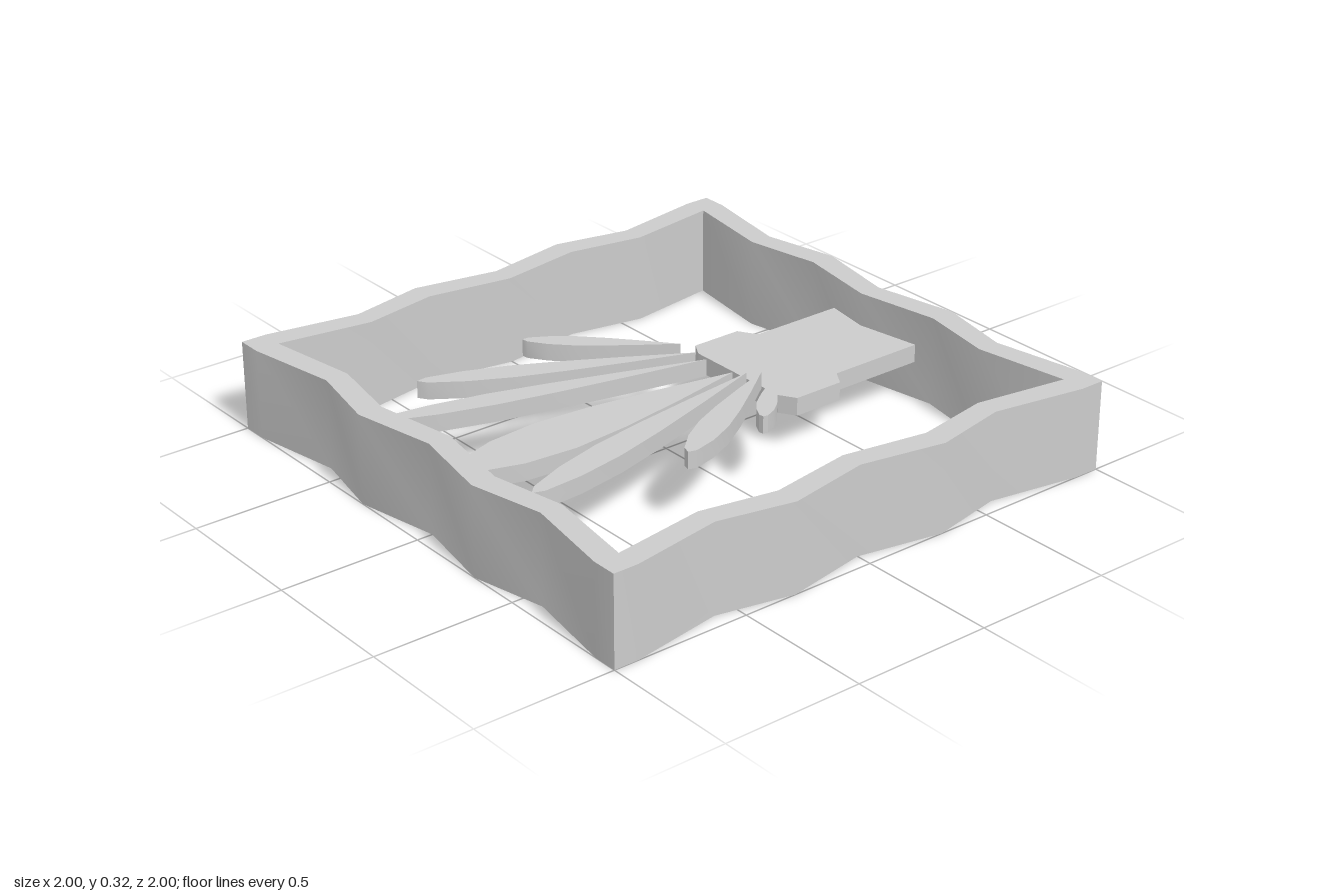
import * as THREE from 'three';
import { toCreasedNormals } from 'three/addons/utils/BufferGeometryUtils.js';

const material = new THREE.MeshStandardMaterial({ color: 0xcccccc });

// Turns a plan outline of [x, z] points into vectors for a shape
const toPlan = (points) => points.map(([x, z]) => new THREE.Vector2(x, -z));

// Upright slab from a plan outline, between two heights; a hole winds against the outline
function slab(name, outline, bottom, top, hole) {
  const shape = new THREE.Shape(toPlan(outline));
  if (hole) shape.holes.push(new THREE.Path(toPlan(hole).reverse()));
  const geometry = new THREE.ExtrudeGeometry(shape, { depth: top - bottom, bevelEnabled: false });
  geometry.rotateX(-Math.PI / 2);
  geometry.translate(0, bottom, 0);
  const mesh = new THREE.Mesh(toCreasedNormals(geometry, 0.5), material);
  mesh.name = name;
  return mesh;
}

// Repeats one zigzag side around the square by quarter turns
function fourSides(side) {
  const points = [];
  for (let i = 0, s = side; i < 4; i++) {
    points.push(...s);
    s = s.map(([x, z]) => [-z, x]);
  }
  return points;
}

// Leaf outline: pointed at the base, widest two thirds along, blunt tip
const leafProfile = [[0.25, 0.48], [0.47, 0.83], [0.66, 1], [0.83, 0.86], [0.965, 0.43]];
function leafOutline([x0, z0], [x1, z1], halfWidth) {
  const dx = x1 - x0, dz = z1 - z0, length = Math.hypot(dx, dz);
  const at = (t, w) => [x0 + dx * t - (dz / length) * w, z0 + dz * t + (dx / length) * w];
  return [
    [x0, z0],
    ...leafProfile.map(([t, w]) => at(t, w * halfWidth)),
    [x1, z1],
    ...[...leafProfile].reverse().map(([t, w]) => at(t, -w * halfWidth)),
  ];
}

export function createModel() {
  const model = new THREE.Group();
  model.name = 'framedFan';

  // Wavy square frame
  const outer = fourSides([[-1, -1], [-0.91, -1], [-0.577, -0.943], [-0.305, -1], [0, -0.943],
    [0.305, -1], [0.577, -0.943], [0.91, -1]]);
  const inner = fourSides([[-0.913, -0.913], [-0.577, -0.862], [-0.305, -0.912], [0, -0.862],
    [0.305, -0.912], [0.577, -0.862]]);
  model.add(slab('frame', outer, 0, 0.32, inner));

  // Stem with a chamfered head, joined to the back wall
  model.add(slab('stem', [
    [-0.165, -0.91], [-0.165, -0.54], [-0.23, -0.5], [-0.23, -0.315], [-0.175, -0.282],
    [0.235, -0.282], [0.293, -0.317], [0.293, -0.505], [0.235, -0.542], [0.235, -0.91],
  ], 0.135, 0.2));

  // Fan of leaves: base, tip, half width, top height
  const leaves = new THREE.Group();
  leaves.name = 'leaves';
  [
    [[-0.232, -0.25], [-0.597, 0.145], 0.037, 0.225],
    [[-0.138, -0.24], [-0.545, 0.615], 0.046, 0.23],
    [[-0.058, -0.22], [-0.37, 0.89], 0.044, 0.24],
    [[0.042, -0.25], [0.042, 0.865], 0.112, 0.22],
    [[0.16, -0.21], [0.392, 0.84], 0.054, 0.275],
    [[0.193, -0.247], [0.486, 0.305], 0.05, 0.28],
    [[0.248, -0.253], [0.446, -0.037], 0.033, 0.28],
  ].forEach(([base, tip, halfWidth, top], i) => {
    leaves.add(slab(`leaf${i + 1}`, leafOutline(base, tip, halfWidth), top - 0.062, top));
  });
  model.add(leaves);

  return model;
}
